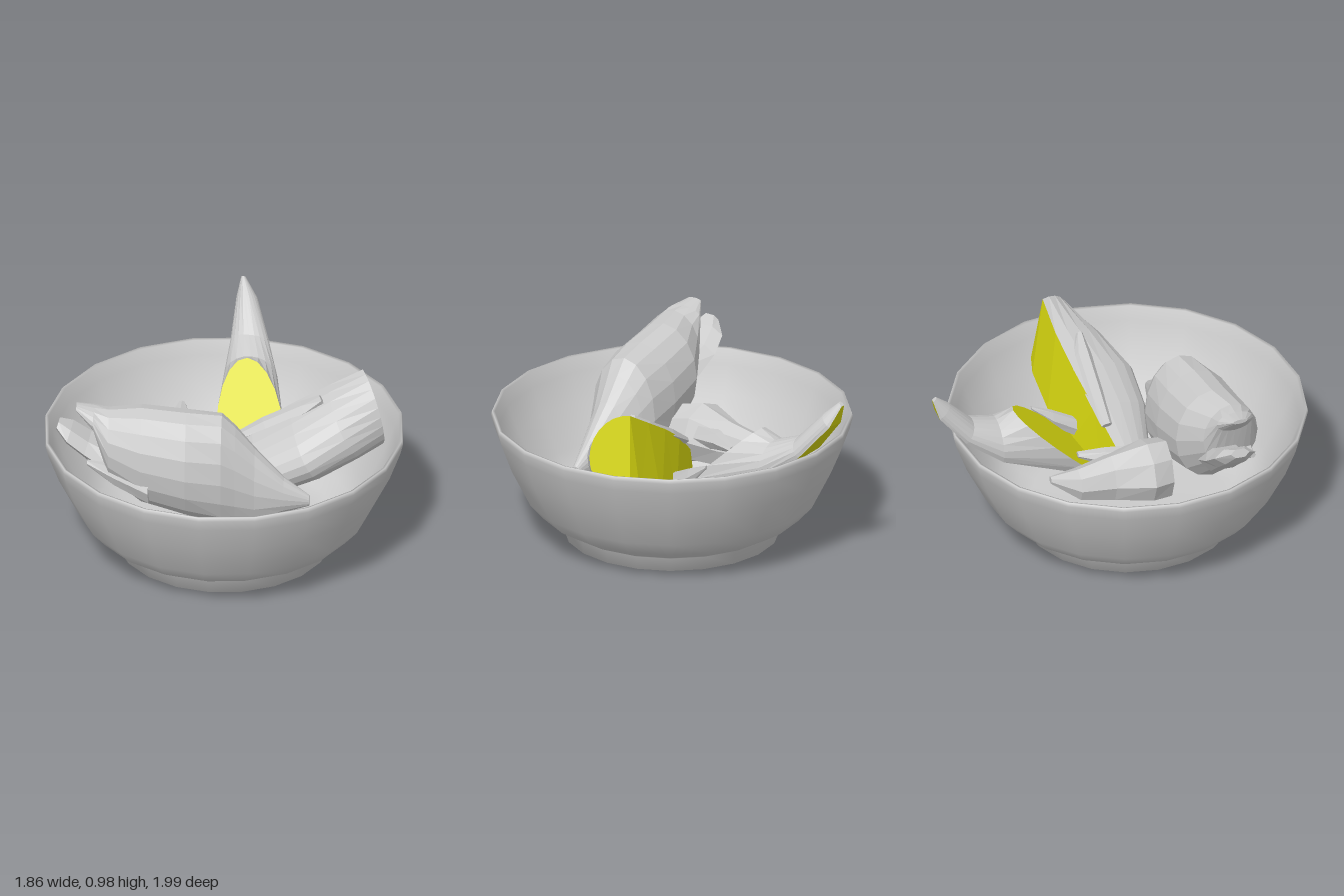
import * as THREE from 'three';

const grey = new THREE.MeshStandardMaterial({ color: 0xcccccc });
const rind = new THREE.MeshStandardMaterial({ color: 0xcccccc, flatShading: true, side: THREE.DoubleSide });
const flesh = new THREE.MeshStandardMaterial({ color: 0xd8d810, flatShading: true, side: THREE.DoubleSide });

// Grid of points (rows of equal length) to a mesh
function gridMesh(rows, name, material) {
  const n = rows[0].length, index = [];
  for (let i = 0; i < rows.length - 1; i++) {
    for (let j = 0; j < n - 1; j++) {
      const a = i * n + j, b = a + n;
      index.push(a, a + 1, b, b, a + 1, b + 1);
    }
  }
  const geometry = new THREE.BufferGeometry().setFromPoints(rows.flat());
  geometry.setIndex(index);
  geometry.computeVertexNormals();
  const mesh = new THREE.Mesh(geometry, material);
  mesh.name = name;
  return mesh;
}

// Loft elliptical sections [x, y, z, halfWidth, halfHeight, ownUp, ownSide]; an arc
// short of a full turn leaves a flat side that is closed with a flesh-coloured cut.
function loft(name, sections, side, up, from = 0, to = 360, steps = 14) {
  const rows = sections.map(([x, y, z, w, h, ownUp = up, ownSide = side]) => {
    const s = new THREE.Vector3(...ownSide), u = new THREE.Vector3(...ownUp);
    return Array.from({ length: steps + 1 }, (_, j) => {
      const a = THREE.MathUtils.degToRad(from + (to - from) * j / steps);
      return new THREE.Vector3(x, y, z).addScaledVector(s, w * Math.cos(a)).addScaledVector(u, h * Math.sin(a));
    });
  });
  const group = new THREE.Group();
  group.name = name;
  const cut = to - from < 360;
  const last = rows.length - 1;
  // Fan from the middle of the chord (or of the full ring) closes an end
  const cap = (row, label, material) => {
    const middle = row[0].clone().lerp(row[cut ? steps : steps / 2], 0.5);
    group.add(gridMesh([row, row.map(() => middle)], label, material));
  };
  group.add(gridMesh(rows, 'rind', rind));
  cap(rows[0], 'tip', rind);
  cap(rows[last], 'thickEnd', cut ? flesh : rind);
  if (cut) group.add(gridMesh(rows.map(r => [r[steps], r[0]]), 'cutSide', flesh));
  return group;
}

export function createModel() {
  const model = new THREE.Group();

  // Thin footed bowl: outside, rim, then inside
  const profile = [
    [0, 0], [0.5, 0.003], [0.555, 0.015], [0.56, 0.085], [0.6, 0.105], [0.69, 0.16], [0.76, 0.24],
    [0.86, 0.44], [0.915, 0.59], [0.93, 0.65], [0.925, 0.672], [0.91, 0.668],
    [0.89, 0.59], [0.835, 0.45], [0.735, 0.26], [0.665, 0.18], [0.58, 0.125], [0.5, 0.1], [0, 0.09]
  ].map(([r, y]) => new THREE.Vector2(r, y));
  const bowl = new THREE.Mesh(new THREE.LatheGeometry(profile, 20), grey);
  bowl.name = 'bowl';
  bowl.position.z = 0.07;
  model.add(bowl);

  // Large whole root leaning on the left rim, with a pointed upper tip
  model.add(loft('wholeRoot', [
    [-0.71, 0.965, 0.46, 0.04, 0.012], [-0.62, 0.91, 0.46, 0.1, 0.055], [-0.54, 0.77, 0.46, 0.15, 0.19],
    [-0.38, 0.69, 0.41, 0.2, 0.265], [-0.15, 0.64, 0.385, 0.21, 0.29], [0.03, 0.6, 0.355, 0.185, 0.31],
    [0.1, 0.56, 0.345, 0.155, 0.28], [0.2, 0.5, 0.34, 0.11, 0.22], [0.35, 0.46, 0.34, 0.06, 0.1],
    [0.48, 0.43, 0.33, 0.02, 0.03]
  ], [0.1, 0, 1], [0, 1, 0], 0, 360, 16));

  // Knobbly end pieces beside the whole root
  model.add(loft('rootKnob', [
    [-0.81, 0.84, 0.43, 0.05, 0.025], [-0.75, 0.79, 0.42, 0.11, 0.045],
    [-0.66, 0.72, 0.41, 0.12, 0.05], [-0.5, 0.62, 0.42, 0.12, 0.08]
  ], [0, 0, 1], [0.3, 1, 0], 0, 360, 6));
  model.add(loft('rootSpur', [
    [-0.64, 0.69, 0.55, 0.015, 0.015], [-0.5, 0.63, 0.55, 0.04, 0.06], [-0.32, 0.56, 0.55, 0.06, 0.08]
  ], [0, 0, 1], [0, 1, 0], 0, 360, 6));

  // Half root on the right, sliced along its back and across its thick end
  model.add(loft('rightHalfRoot', [
    [-0.14, 0.3, 0.05, 0.02, 0.02], [0, 0.36, 0, 0.2, 0.12], [0.2, 0.46, -0.06, 0.31, 0.17],
    [0.4, 0.56, -0.11, 0.35, 0.19], [0.6, 0.66, -0.15, 0.28, 0.2],
    [0.73, 0.73, -0.17, 0.18, 0.21, [-0.2, 0.97, 0], [0.43, 0, 0.9]]
  ], [0.15, 0, 0.98], [-0.45, 0.87, 0], -108, 92));
  model.add(loft('raisedRind', [
    [0.03, 0.55, -0.03, 0.03, 0.02], [0.2, 0.64, -0.045, 0.05, 0.04],
    [0.4, 0.75, -0.05, 0.05, 0.04], [0.49, 0.82, -0.04, 0.02, 0.025]
  ], [0.15, 0, 1], [-0.45, 0.87, 0], 0, 360, 6));

  // Half root at the back, its thin tip rising over the rim
  model.add(loft('backHalfRoot', [
    [-0.05, 0.955, -0.985, 0.012, 0.02, [0, 0.65, 0.75]], [-0.025, 0.86, -0.94, 0.055, 0.06, [0, 0.65, 0.75]],
    [0.01, 0.69, -0.8, 0.1, 0.07, [0, 0.8, 0.6]], [0.04, 0.57, -0.62, 0.14, 0.13, [0, 1, 0]],
    [0.1, 0.42, -0.21, 0.18, 0.46]
  ], [1, 0, 0], [-0.14, 0.7, -0.7], -25, 205));
  model.add(loft('backSliver', [
    [0.28, 0.56, -0.36, 0.01, 0.01], [0.27, 0.48, -0.25, 0.03, 0.05], [0.25, 0.4, -0.1, 0.03, 0.06]
  ], [1, 0, 0], [0, 1, 0], 0, 360, 6));

  // Small root low in the bowl, tucked behind the large one
  model.add(loft('smallRoot', [
    [-0.29, 0.5, -0.43, 0.02, 0.02], [-0.28, 0.44, -0.28, 0.08, 0.09], [-0.27, 0.44, -0.1, 0.11, 0.13],
    [-0.29, 0.46, 0.09, 0.17, 0.16], [-0.26, 0.44, 0.2, 0.15, 0.16]
  ], [1, 0, 0], [0, 1, 0], 0, 360, 8));
  model.add(loft('smallRootFlake', [
    [-0.11, 0.5, -0.23, 0.02, 0.015], [-0.17, 0.5, -0.1, 0.05, 0.05], [-0.22, 0.48, 0.1, 0.07, 0.08]
  ], [1, 0, 0], [0, 1, 0], 0, 360, 6));

  return model;
}
